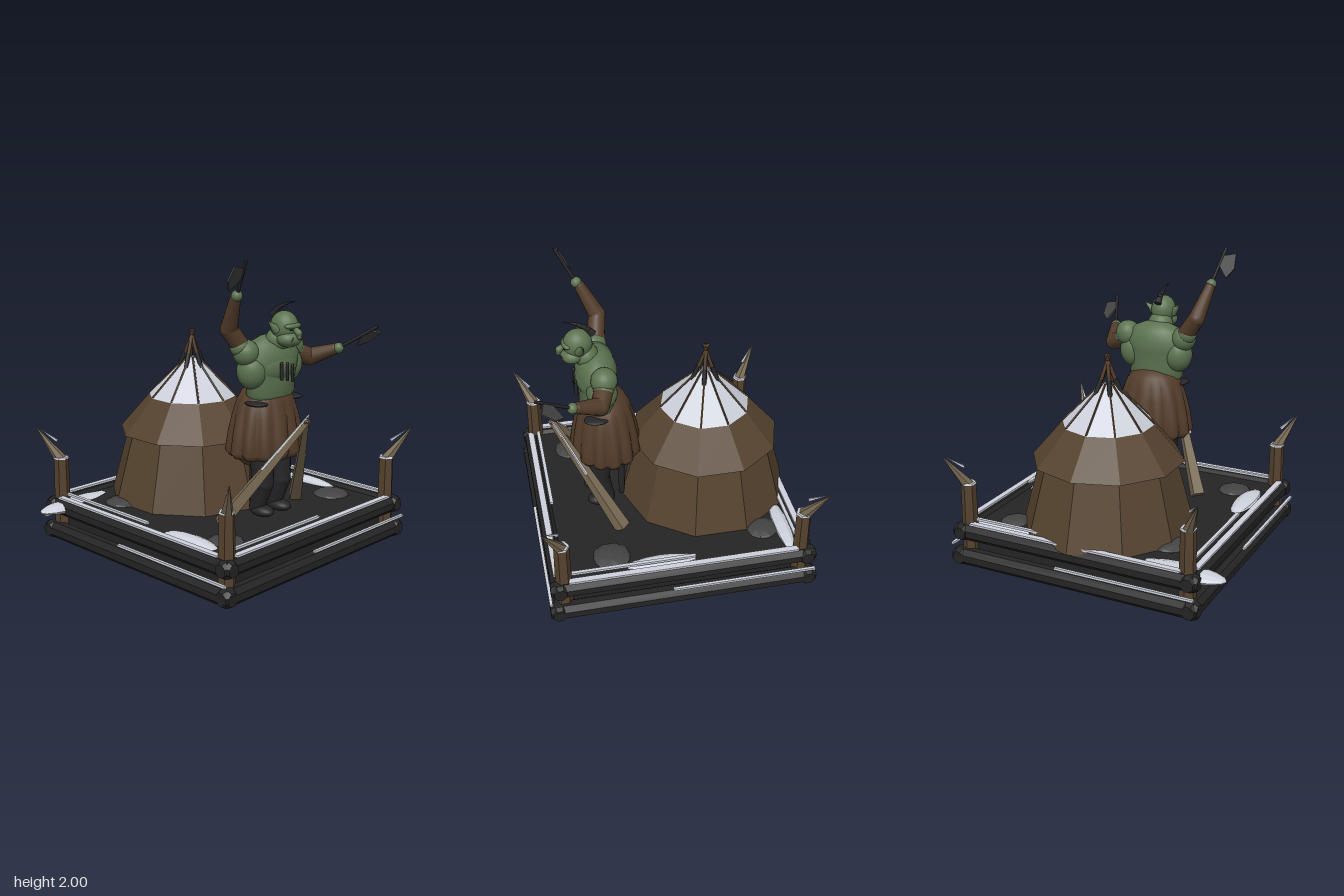
import * as THREE from 'three';

const mat = (name, color, flat = false) => {
  const m = new THREE.MeshStandardMaterial({ color, flatShading: flat });
  m.name = name;
  return m;
};
const V = (x, y, z) => new THREE.Vector3(x, y, z);

export function createModel() {
  const root = new THREE.Group();
  const CX = 0.06; // centre line of base, hut and figure
  const M = {
    black: mat('charredWood', 0x242424, true),
    hide: mat('hutHide', 0x56432f, true),
    snow: mat('snow', 0xced2dc, true),
    tan: mat('paleWood', 0x786a53, true),
    rock: mat('rock', 0x434343, true),
    skin: mat('greenSkin', 0x5c7350),
    leather: mat('leather', 0x533c2a),
    dark: mat('darkCloth', 0x262628),
  };
  M.snow.side = M.hide.side = THREE.DoubleSide;

  const add = (name, geo, m, x = 0, y = 0, z = 0, parent = root) => {
    const mesh = new THREE.Mesh(geo, m);
    mesh.name = name;
    mesh.position.set(x, y, z);
    parent.add(mesh);
    return mesh;
  };
  const box = (name, m, x, y, z, w, h, d) => add(name, new THREE.BoxGeometry(w, h, d), m, x, y, z);
  const ball = (name, m, x, y, z, rx, ry = rx, rz = rx, seg = 20) => {
    const b = add(name, new THREE.SphereGeometry(1, seg, Math.max(6, seg * 0.7 | 0)), m, x, y, z);
    b.scale.set(rx, ry, rz);
    return b;
  };
  // Tapered round bar from a to b
  const bar = (name, m, a, b, ra, rb, seg = 14) => {
    const d = b.clone().sub(a);
    const c = add(name, new THREE.CylinderGeometry(rb, ra, d.length(), seg), m);
    c.position.copy(a).addScaledVector(d, 0.5);
    c.quaternion.setFromUnitVectors(V(0, 1, 0), d.normalize());
    return c;
  };
  // Smooth limb: bars with balls at the joints
  const limb = (name, m, pts) => pts.forEach(([p, r], i) => {
    ball(name, m, p.x, p.y, p.z, r);
    if (i) bar(name, m, pts[i - 1][0], p, pts[i - 1][1], r);
  });

  // Base slab and two courses of bevelled logs
  box('groundSlab', M.black, CX, 0.135, 0, 1.56, 0.25, 1.56);
  box('bottomSlab', M.black, CX, 0.04, 0, 1.7, 0.078, 1.7);
  const log = (y, r, len, x, z, alongX) => {
    const h = len / 2;
    const prof = [[0, -h], [r * 0.75, -h], [r, -h + 0.025], [r, h - 0.025], [r * 0.75, h], [0, h]];
    const g = new THREE.LatheGeometry(prof.map(p => new THREE.Vector2(...p)), 8);
    g.rotateY(Math.PI / 8);
    const l = add('frameLog', g, M.black, x, y, z);
    if (alongX) l.rotation.z = Math.PI / 2; else l.rotation.x = Math.PI / 2;
  };
  for (const s of [-1, 1]) {
    log(0.056, 0.06, 1.78, CX, s * 0.835, true);
    log(0.056, 0.06, 1.78, CX + s * 0.835, 0, false);
    log(0.23, 0.058, 1.76, CX, s * 0.82, true);
    log(0.23, 0.058, 1.76, CX + s * 0.82, 0, false);
  }

  // Snow strips on the rails, turned round the four sides
  for (let i = 0; i < 4; i++) {
    const side = new THREE.Group();
    side.name = 'railSnow';
    side.position.x = CX;
    side.rotation.y = i * Math.PI / 2;
    root.add(side);
    const strip = (x0, x1, y, z, d, h) =>
      add('snowStrip', new THREE.BoxGeometry(x1 - x0, h, d), M.snow, (x0 + x1) / 2, y, z, side);
    strip(-0.76, 0.76, 0.295, 0.83, 0.042, 0.014);
    strip(-0.76, 0.08, 0.31, 0.775, 0.024, 0.016);
    strip(-0.09, 0.87, 0.145, 0.885, 0.02, 0.016);
  }

  // Corner posts with snow caps and outward spikes
  for (const sx of [-1, 1]) for (const sz of [-1, 1]) {
    const x = CX + sx * 0.79, z = sz * 0.79;
    bar('cornerPost', M.hide, V(x, 0.08, z), V(x, 0.565, z), 0.056, 0.05, 6);
    add('postSnowCap', new THREE.CylinderGeometry(0.05, 0.054, 0.012, 6), M.snow, x, 0.568, z);
    bar('postSpike', M.tan, V(x, 0.55, z), V(x + sx * 0.11, 0.78, z + sz * 0.125), 0.042, 0.002, 6);
    bar('spikeSnow', M.snow, V(x + sx * 0.015, 0.685, z + sz * 0.02),
      V(x + sx * 0.085, 0.76, z + sz * 0.1), 0.012, 0.002, 4);
  }

  // Snow drifts and flat rocks
  const drift = (x, y, z, len, h, w, alongX) => {
    const g = new THREE.SphereGeometry(1, 10, 8);
    g.rotateX(Math.PI / 2);
    if (alongX) g.rotateY(Math.PI / 2);
    add('snowDrift', g, M.snow, x, y, z).scale.set(alongX ? len : w, h, alongX ? w : len);
  };
  drift(-0.65, 0.235, -0.73, 0.31, 0.042, 0.1, true);
  drift(0.62, 0.245, -0.73, 0.26, 0.045, 0.06, true);
  drift(-0.65, 0.25, 0.4, 0.23, 0.045, 0.08, false);
  drift(0.8, 0.25, 0.14, 0.24, 0.045, 0.065, false);
  for (const [x, z, r] of [[-0.5, 0.56, 0.12], [0.68, 0.45, 0.13], [0.62, -0.59, 0.11], [-0.46, -0.46, 0.13]])
    add('rock', new THREE.IcosahedronGeometry(r, 1), M.rock, x, 0.25, z).scale.y = 0.36;

  // Ten-sided hut
  const HZ = -0.31;
  const ring = (name, m, y0, y1, r0, r1) =>
    add(name, new THREE.CylinderGeometry(r1, r0, y1 - y0, 10, 1, true), m, CX, (y0 + y1) / 2, HZ);
  ring('hutWall', M.hide, 0.26, 0.74, 0.58, 0.45);
  ring('hutEave', M.hide, 0.72, 0.96, 0.51, 0.305);
  ring('hutSnowRoof', M.snow, 0.96, 1.23, 0.305, 0.035);
  for (let i = 0; i < 10; i++) {
    const a = i * Math.PI / 5, s = Math.sin(a), c = Math.cos(a);
    bar('roofRib', M.hide, V(CX + 0.303 * s, 0.965, HZ + 0.303 * c), V(CX + 0.04 * s, 1.23, HZ + 0.04 * c), 0.007, 0.007, 5);
    if (i % 2 === 0) {
      bar('smokePole', M.dark, V(CX + 0.09 * s, 1.16, HZ + 0.09 * c), V(CX + 0.05 * s, 1.26, HZ + 0.05 * c), 0.016, 0.015, 6);
      bar('smokePole', M.leather, V(CX + 0.07 * s, 1.2, HZ + 0.07 * c), V(CX - 0.015 * s, 1.42, HZ - 0.015 * c), 0.013, 0.012, 6);
    }
  }

  // Crossed leaning beams with snow along the upper edge
  for (const s of [-1, 1]) {
    bar('leaningBeam', M.tan, V(CX + s * 0.37, 0.27, 0.33), V(CX - s * 0.01, 0.965, 0.735), 0.055, 0.022, 4);
    bar('beamSnow', M.snow, V(CX + s * 0.215, 0.64, 0.54), V(CX, 1.0, 0.745), 0.012, 0.006, 4);
  }

  // Legs, boots and rear support
  for (const s of [-1, 1]) {
    const x = CX + s * 0.085;
    limb('leg', M.dark, [[V(x, 0.72, 0.42), 0.085], [V(x, 0.5, 0.44), 0.07], [V(x, 0.33, 0.39), 0.055]]);
    ball('boot', M.dark, x, 0.31, 0.43, 0.062, 0.04, 0.095);
  }
  bar('supportPole', M.dark, V(CX, 0.27, 0.27), V(CX, 0.6, 0.27), 0.022, 0.022, 8);
  ball('skirtBustle', M.leather, CX, 0.7, 0.29, 0.15, 0.13, 0.13);

  // Pleated skirt: a lathe whose folds deepen toward the hem
  const prof = [[0.02, 0.68], [0.23, 0.68], [0.262, 0.72], [0.245, 0.85], [0.225, 0.96], [0.2, 1.05], [0.165, 1.11], [0.09, 1.15], [0.001, 1.16]];
  const skirt = new THREE.LatheGeometry(prof.map(p => new THREE.Vector2(...p)), 96);
  const sp = skirt.attributes.position;
  for (let i = 0; i < sp.count; i++) {
    const a = Math.atan2(sp.getX(i), sp.getZ(i)), y = sp.getY(i);
    const depth = 0.14 * Math.min(1, Math.max(0, (1.1 - y) / 0.3));
    const k = 1 + depth * (Math.abs(Math.cos(a * 6.5 + Math.PI * 0.5 * (a < 0 ? 1 : -1))) - 0.4);
    sp.setX(i, sp.getX(i) * k * 1.02);
    sp.setZ(i, sp.getZ(i) * k * 0.85);
  }
  skirt.computeVertexNormals();
  add('skirt', skirt, M.leather, CX, 0, 0.375);
  for (const s of [-1, 1]) ball('beltKnot', M.dark, CX + s * 0.17, 1.05, 0.45, 0.06, 0.016, 0.085);

  // Torso, shoulders and chest slashes
  const body = [[0.001, 1.04], [0.15, 1.05], [0.2, 1.1], [0.19, 1.18], [0.215, 1.28], [0.225, 1.35], [0.18, 1.43], [0.09, 1.47], [0.001, 1.48]];
  const torso = add('torso', new THREE.LatheGeometry(body.map(p => new THREE.Vector2(...p)), 32), M.skin, CX, 0, 0.42);
  torso.scale.z = 0.6;
  ball('chest', M.skin, CX, 1.29, 0.46, 0.18, 0.13, 0.1);
  for (const s of [-1, 1]) {
    ball('shoulder', M.skin, CX + s * 0.215, 1.38, 0.4, 0.085);
    ball('sideMuscle', M.skin, CX + s * 0.17, 1.26, 0.41, 0.1, 0.12, 0.1);
  }
  [[-0.055, 1.26], [0, 1.25], [0.05, 1.235]].forEach(([x, y]) =>
    limb('chestSlash', M.dark, [[V(CX + x, y + 0.05, 0.56), 0.01], [V(CX + x, y - 0.05, 0.562), 0.01]]));

  // Head with jaw, nose, brow, ears, tusks and crest
  ball('head', M.skin, CX, 1.54, 0.53, 0.085, 0.1, 0.095);
  ball('jaw', M.skin, CX, 1.465, 0.57, 0.085, 0.055, 0.075);
  ball('neck', M.skin, CX, 1.45, 0.48, 0.09, 0.08, 0.08);
  ball('brow', M.skin, CX, 1.55, 0.6, 0.07, 0.022, 0.035);
  limb('nose', M.skin, [[V(CX, 1.54, 0.61), 0.016], [V(CX, 1.51, 0.65), 0.023], [V(CX, 1.485, 0.655), 0.015]]);
  for (const s of [-1, 1]) {
    bar('ear', M.skin, V(CX + s * 0.07, 1.525, 0.53), V(CX + s * 0.135, 1.585, 0.51), 0.034, 0.002, 8);
    ball('eye', M.dark, CX + s * 0.035, 1.53, 0.618, 0.011, 0.007, 0.009, 10);
    bar('tusk', M.tan, V(CX + s * 0.04, 1.455, 0.632), V(CX + s * 0.045, 1.49, 0.645), 0.008, 0.001, 6);
  }
  const crest = new THREE.CatmullRomCurve3([V(CX, 1.6, 0.43), V(CX, 1.645, 0.47), V(CX, 1.685, 0.54), V(CX, 1.71, 0.62)]);
  for (let i = 0; i < 8; i++)
    bar('crest', M.dark, crest.getPoint(i / 8), crest.getPoint((i + 1) / 8), 0.025 * (1 - i / 8) + 0.001, 0.025 * (1 - (i + 1) / 8) + 0.001, 10);

  // Raised right arm and bent left arm
  const hands = [V(-0.32, 1.765, 0.475), V(0.49, 1.355, 0.63)];
  limb('rightUpperArm', M.skin, [[V(-0.15, 1.38, 0.4), 0.08], [V(-0.19, 1.42, 0.38), 0.065]]);
  limb('rightSleeve', M.leather, [[V(-0.18, 1.42, 0.38), 0.06], [V(-0.265, 1.54, 0.355), 0.057], [V(-0.315, 1.74, 0.455), 0.036]]);
  limb('leftUpperArm', M.skin, [[V(0.27, 1.37, 0.4), 0.085], [V(0.31, 1.34, 0.41), 0.065]]);
  limb('leftSleeve', M.leather, [[V(0.31, 1.33, 0.41), 0.064], [V(0.41, 1.285, 0.45), 0.06], [V(0.48, 1.345, 0.6), 0.038]]);
  hands.forEach(h => ball('hand', M.skin, h.x, h.y, h.z, 0.036));

  // Hatchets: handle along local y, blade toward local x
  const hatchet = (from, to, bladeHint) => {
    const g = new THREE.Group();
    g.name = 'hatchet';
    const y = to.clone().sub(from), len = y.length();
    y.normalize();
    const x = bladeHint.clone().addScaledVector(y, -bladeHint.dot(y)).normalize();
    g.quaternion.setFromRotationMatrix(new THREE.Matrix4().makeBasis(x, y, x.clone().cross(y)));
    g.position.copy(from);
    root.add(g);
    add('handle', new THREE.CylinderGeometry(0.011, 0.011, len + 0.04, 8), M.dark, 0, len / 2 - 0.02, 0, g);
    const s = new THREE.Shape([[0, len - 0.06], [0.085, len - 0.02], [0.115, len - 0.12], [0.085, len - 0.2], [0, len - 0.13]]
      .map(p => new THREE.Vector2(...p)));
    add('blade', new THREE.ExtrudeGeometry(s, { depth: 0.014, bevelEnabled: false }), M.rock, 0, 0, -0.007, g);
  };
  hatchet(hands[0], V(-0.375, 1.995, 0.6), V(-1, 0, 0));
  hatchet(hands[1], V(0.6, 1.512, 0.86), V(1, -0.5, -0.1));

  return root;
}
